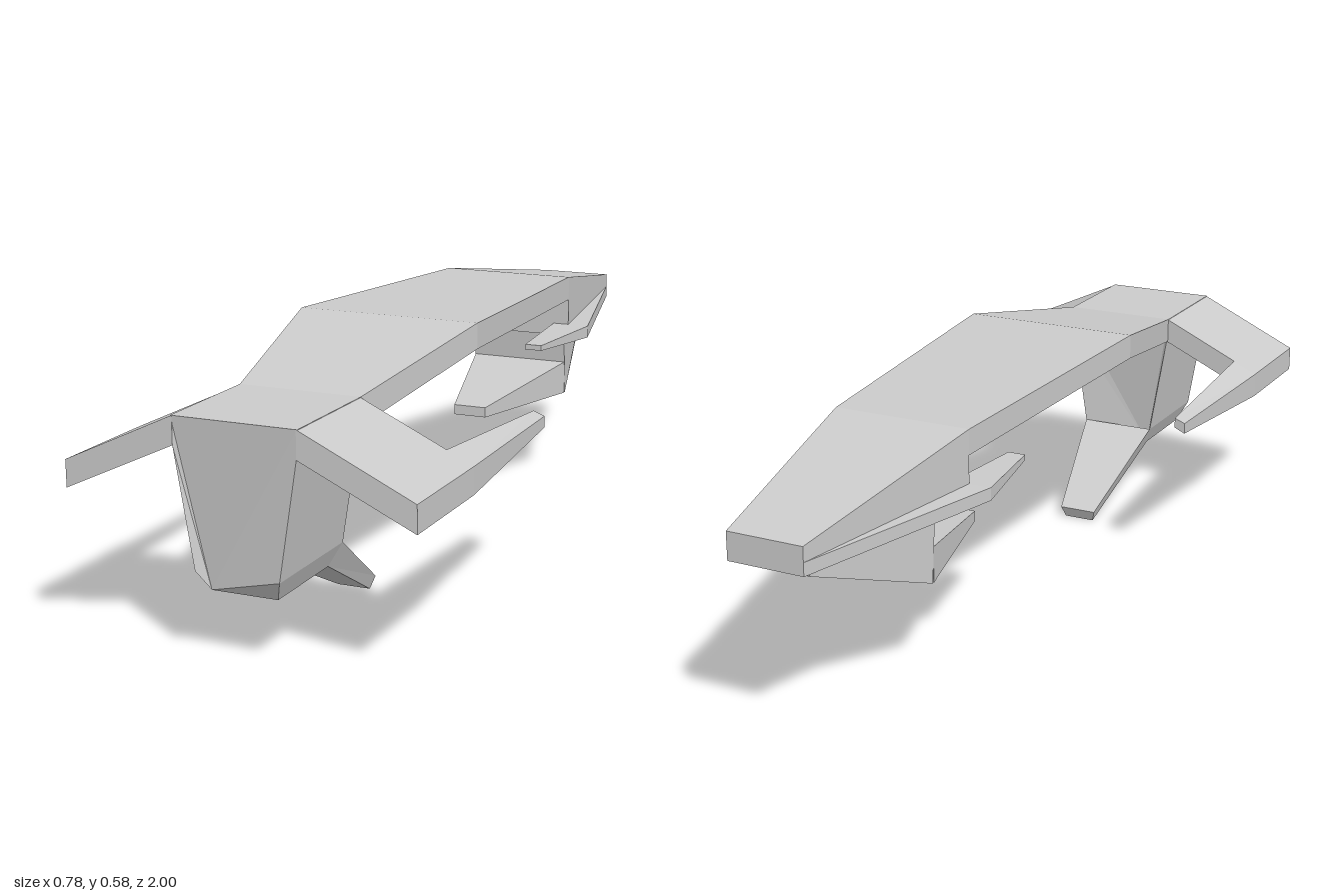
import * as THREE from 'three';

const material = new THREE.MeshStandardMaterial({ color: 0xcccccc, flatShading: true });

// Flat-faced solid through cross-sections with equal corner counts, capped at both ends.
function loft(name, sections) {
  const tris = [];
  const n = sections[0].length;
  for (let s = 0; s < sections.length - 1; s++) {
    const a = sections[s], b = sections[s + 1];
    for (let i = 0; i < n; i++) {
      const j = (i + 1) % n;
      tris.push([a[i], a[j], b[j]], [a[i], b[j], b[i]]);
    }
  }
  const first = sections[0], last = sections[sections.length - 1];
  for (let i = 1; i < n - 1; i++) {
    tris.push([first[0], first[i + 1], first[i]], [last[0], last[i], last[i + 1]]);
  }
  // Turn all faces outward, whichever way the sections run
  let volume = 0;
  const v = (p) => new THREE.Vector3(...p);
  for (const [a, b, c] of tris) volume += v(a).dot(v(b).cross(v(c)));
  const positions = tris.flatMap(([a, b, c]) => (volume < 0 ? [a, c, b] : [a, b, c])).flat();
  const geometry = new THREE.BufferGeometry();
  geometry.setAttribute('position', new THREE.Float32BufferAttribute(positions, 3));
  geometry.computeVertexNormals();
  const mesh = new THREE.Mesh(geometry, material);
  mesh.name = name;
  return mesh;
}

// Rectangle between two x values at depth z
const rect = (z, x0, x1, y0, y1) => [[x0, y0, z], [x1, y0, z], [x1, y1, z], [x0, y1, z]];
const band = (z, w, y0, y1) => rect(z, -w, w, y0, y1);

export function createModel() {
  const group = new THREE.Group();
  group.name = 'spacecraft';

  // Arched spine linking the two ends
  group.add(loft('spine', [
    band(0.72, 0.14, 0.447, 0.508),
    band(0.285, 0.218, 0.525, 0.584),
    band(-0.46, 0.167, 0.497, 0.556),
  ]));

  // Tapered head on a wider flat plate
  group.add(loft('head', [
    band(-0.46, 0.167, 0.43, 0.556),
    band(-1, 0.09, 0.43, 0.466),
  ]));
  group.add(loft('headPlate', [
    band(-0.46, 0.22, 0.402, 0.432),
    band(-1, 0.09, 0.402, 0.432),
  ]));

  // Pod under the head, with its pointed prong
  group.add(loft('pod', [
    [[-0.127, 0.226, -0.555], [0.127, 0.226, -0.555], [0.127, 0.403, -0.54], [-0.127, 0.403, -0.54]],
    [[-0.045, 0.36, -0.91], [0.045, 0.36, -0.91], [0.045, 0.403, -0.925], [-0.045, 0.403, -0.925]],
  ]));
  group.add(loft('podProng', [
    band(-0.55, 0.127, 0.226, 0.31),
    band(-0.2, 0.042, 0.233, 0.258),
  ]));

  // Keel block under the wings, chamfered along its base
  const keel = [[1, 0.97], [0.72, 0.75]].map(([z, zLow]) => [
    [-0.075, 0.145, zLow], [0.075, 0.145, zLow], [0.095, 0.192, z], [0.137, 0.447, z],
    [0.14, 0.508, z], [-0.14, 0.508, z], [-0.137, 0.447, z], [-0.095, 0.192, z],
  ]);
  group.add(loft('keel', keel));
  group.add(loft('keelProng', [
    [[-0.075, 0.145, 0.75], [0.075, 0.145, 0.75], [0.095, 0.192, 0.72], [-0.095, 0.192, 0.72]],
    [[-0.039, 0, 0.475], [0.039, 0, 0.475], [0.048, 0.028, 0.463], [-0.048, 0.028, 0.463]],
  ]));

  // Drooping wings and the long prongs on both sides
  for (const [side, s] of [['left', 1], ['right', -1]]) {
    const slanted = (z, x0, x1, low0, high0, low1, high1) => [
      [s * x0, low0, z], [s * x1, low1, z], [s * x1, high1, z], [s * x0, high0, z],
    ];
    group.add(loft(side + 'Wing', [
      slanted(1, 0.137, 0.39, 0.447, 0.508, 0.33, 0.39),
      slanted(0.72, 0.137, 0.39, 0.447, 0.508, 0.33, 0.39),
    ]));
    group.add(loft(side + 'WingProng', [
      slanted(0.72, 0.33, 0.39, 0.358, 0.418, 0.33, 0.39),
      slanted(0.27, 0.347, 0.373, 0.37, 0.394, 0.358, 0.384),
    ]));
    group.add(loft(side + 'HeadProng', [
      rect(-0.46, s * 0.127, s * 0.22, 0.402, 0.432),
      rect(-0.22, s * 0.14, s * 0.182, 0.413, 0.426),
    ]));
  }
  return group;
}
